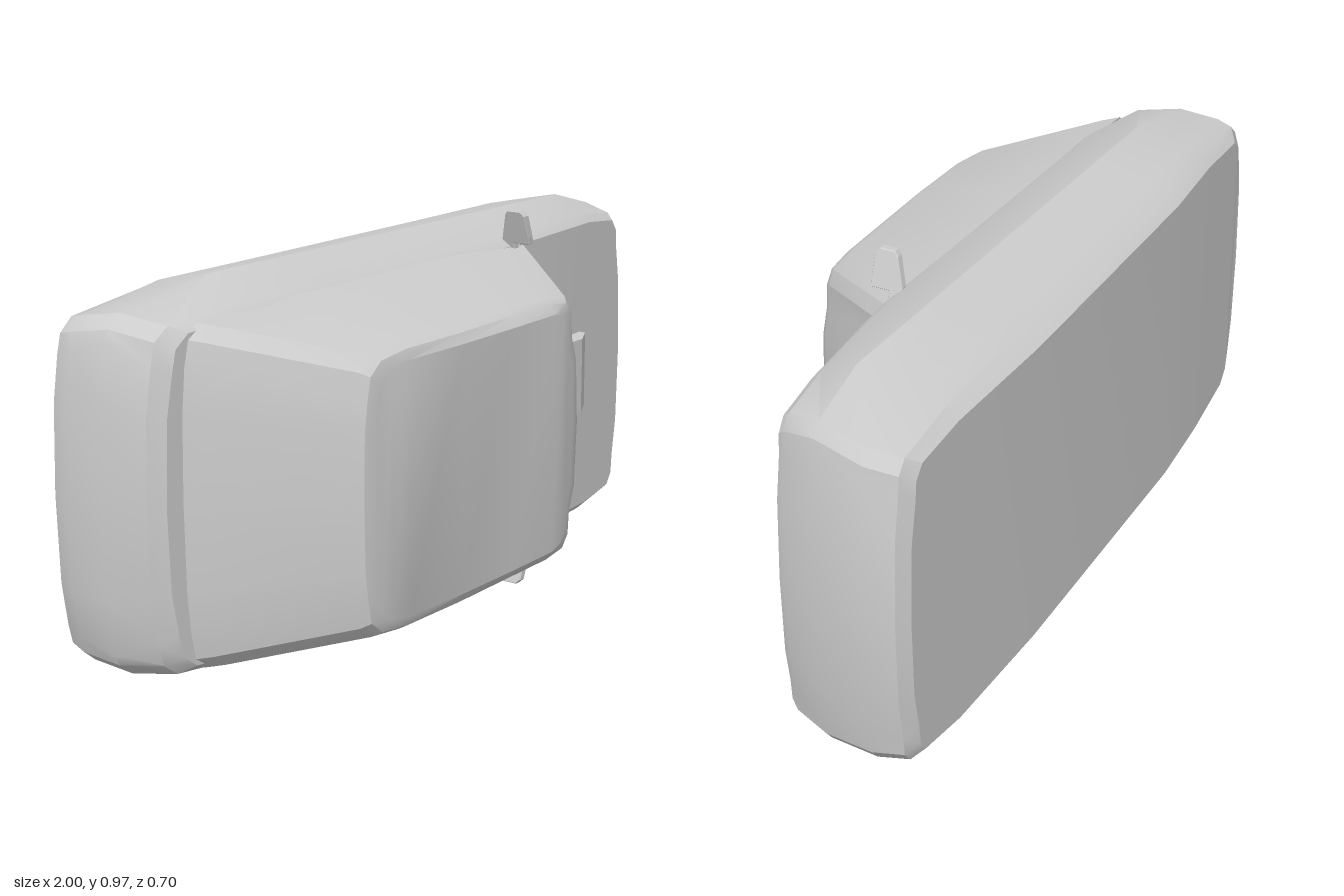
import * as THREE from 'three';
import { toCreasedNormals } from 'three/addons/utils/BufferGeometryUtils.js';

const MID = 0.49; // height of the car's centre line (car lies on its side)
const grey = new THREE.MeshStandardMaterial({ color: 0xcccccc, side: THREE.DoubleSide });

// Linear interpolation through [x, value] pairs
function sample(pts, x) {
  if (x <= pts[0][0]) return pts[0][1];
  for (let i = 1; i < pts.length; i++) {
    const [x0, a] = pts[i - 1], [x1, b] = pts[i];
    if (x <= x1) return a + (b - a) * (x - x0) / (x1 - x0);
  }
  return pts[pts.length - 1][1];
}

// Half plan outline from rear centre round one flank to front centre
function halfOutline({ rear, front, w, taper, bowR, bowF }, stations) {
  return [
    [rear, 0], [rear + bowR * 0.3, w * 0.5], [rear + bowR, w - 0.1],
    [rear + bowR + 0.012, w - taper - 0.03], [rear + bowR + 0.05, w - taper],
    ...stations.map((x) => [x, w]),
    [front - bowF - 0.03, w - taper], [front - bowF - 0.005, w - taper - 0.03],
    [front - bowF, w - 0.1], [front - bowF * 0.3, w * 0.5], [front, 0],
  ];
}

// Skin stacked plan outlines from floor to top and close both ends
function loft(levels, stations, crease) {
  const pos = [], idx = [];
  let n = 0;
  for (const level of levels) {
    const half = halfOutline(level, stations);
    n = half.length;
    const ring = [...half, ...half.slice(1, -1).reverse().map(([x, y]) => [x, -y])];
    for (const [x, y] of ring) pos.push(x, y + MID, sample(level.z, x));
  }
  const m = 2 * n - 2;
  for (let i = 0; i < levels.length - 1; i++) {
    for (let j = 0; j < m; j++) {
      const a = i * m + j, b = i * m + (j + 1) % m;
      idx.push(a, a + m, b, b, a + m, b + m);
    }
  }
  const top = (levels.length - 1) * m;
  for (let j = 0; j < n - 1; j++) {
    const p = j, q = j + 1, r = (m - j) % m, s = m - j - 1;
    if (p !== r) idx.push(top + p, top + r, top + q, p, q, r);
    if (q !== s) idx.push(top + q, top + r, top + s, q, s, r);
  }
  const geo = new THREE.BufferGeometry();
  geo.setAttribute('position', new THREE.Float32BufferAttribute(pos, 3));
  geo.setIndex(idx);
  return toCreasedNormals(geo, crease);
}

function part(name, geo) {
  const mesh = new THREE.Mesh(geo, grey);
  mesh.name = name;
  return mesh;
}

// Lower body: sloping floor, bulged flanks, hood falling towards the nose
function lowerBody() {
  const lv = (rear, front, w, taper, z) => ({ rear, front, w, taper, z, bowR: 0.025, bowF: 0.025 });
  return part('lowerBody', loft([
    lv(-0.94, 0.955, 0.385, 0.02, [[-0.93, -0.288], [-0.4, -0.335], [0.4, -0.355], [0.95, -0.347]]),
    lv(-0.99, 0.985, 0.41, 0.025, [[-1, -0.255], [-0.4, -0.3], [0.4, -0.31], [0.98, -0.325]]),
    lv(-1, 1, 0.425, 0.03, [[-1, -0.21], [-0.65, -0.25], [0.75, -0.25], [1, -0.25]]),
    lv(-0.985, 0.975, 0.455, 0.045, [[-0.98, -0.12], [-0.65, -0.107], [0.75, -0.107], [0.97, -0.12]]),
    lv(-0.962, 0.953, 0.412, 0.02, [[-0.96, -0.01], [-0.65, 0.018], [0.4, 0.015], [0.95, -0.035]]),
    lv(-0.93, 0.942, 0.39, 0.015, [[-0.93, 0.02], [-0.65, 0.045], [0.42, 0.042], [0.94, -0.015]]),
  ], [-0.65, -0.4, 0.4, 0.75], 0.45));
}

// Cabin: raked windscreen and rear window, inward-leaning sides, crowned roof
function cabin() {
  const lv = (rear, front, w, taper, bowF, z) => ({ rear, front, w, taper, bowF, bowR: 0.012, z });
  return part('cabin', loft([
    lv(-0.885, 0.485, 0.403, 0.012, 0.055, [[-0.9, 0.02], [0.5, 0.02]]),
    lv(-0.86, 0.46, 0.396, 0.012, 0.055, [[-0.86, 0.058], [0.46, 0.05]]),
    lv(-0.665, 0.238, 0.329, 0.01, 0.03, [[-0.66, 0.315], [-0.3, 0.318], [0.238, 0.3]]),
    lv(-0.648, 0.215, 0.318, 0.01, 0.03, [[-0.64, 0.335], [-0.3, 0.337], [0.21, 0.32]]),
    lv(-0.62, 0.18, 0.295, 0.01, 0.025, [[-0.62, 0.343], [-0.3, 0.35], [0.05, 0.345], [0.18, 0.331]]),
  ], [-0.5, -0.3, -0.1, 0.08], 0.45));
}

// Hood scoop: side profile extruded across the car
function hoodScoop() {
  const profile = [[0.49, 0], [0.49, 0.058], [0.52, 0.066], [0.63, 0.066], [0.7, 0.03], [0.7, 0]];
  const geo = new THREE.ExtrudeGeometry(
    new THREE.Shape(profile.map(([x, z]) => new THREE.Vector2(x, z))),
    { depth: 0.2, bevelEnabled: false });
  geo.rotateX(Math.PI / 2);
  geo.translate(0, MID + 0.1, 0);
  return part('hoodScoop', geo);
}

// Door mirror: thin plate swept backwards, with a short stalk to the door
function doorMirror(side) {
  const outline = [[0.02, 0.375], [0.05, 0.385], [0.05, 0.402], [0.098, 0.402], [0.1, 0.42],
    [0.1, 0.475], [0.09, 0.485], [0.053, 0.485], [0.045, 0.475], [0.022, 0.41]];
  const geo = new THREE.ExtrudeGeometry(
    new THREE.Shape(outline.map(([z, v]) => new THREE.Vector2(-z, side * v))),
    { depth: 0.016, bevelEnabled: true, bevelSize: 0.002, bevelThickness: 0.003, bevelSegments: 1 });
  geo.rotateY(Math.PI / 2);
  const p = geo.attributes.position;
  for (let i = 0; i < p.count; i++) {
    p.setX(i, p.getX(i) + 0.325 - (side * p.getY(i) - 0.4) * 0.35);
  }
  geo.translate(0, MID, 0);
  geo.computeVertexNormals();
  return part(side > 0 ? 'upperDoorMirror' : 'lowerDoorMirror', geo);
}

export function createModel() {
  const car = new THREE.Group();
  car.name = 'car';
  car.add(lowerBody(), cabin(), hoodScoop(), doorMirror(1), doorMirror(-1));
  return car;
}
